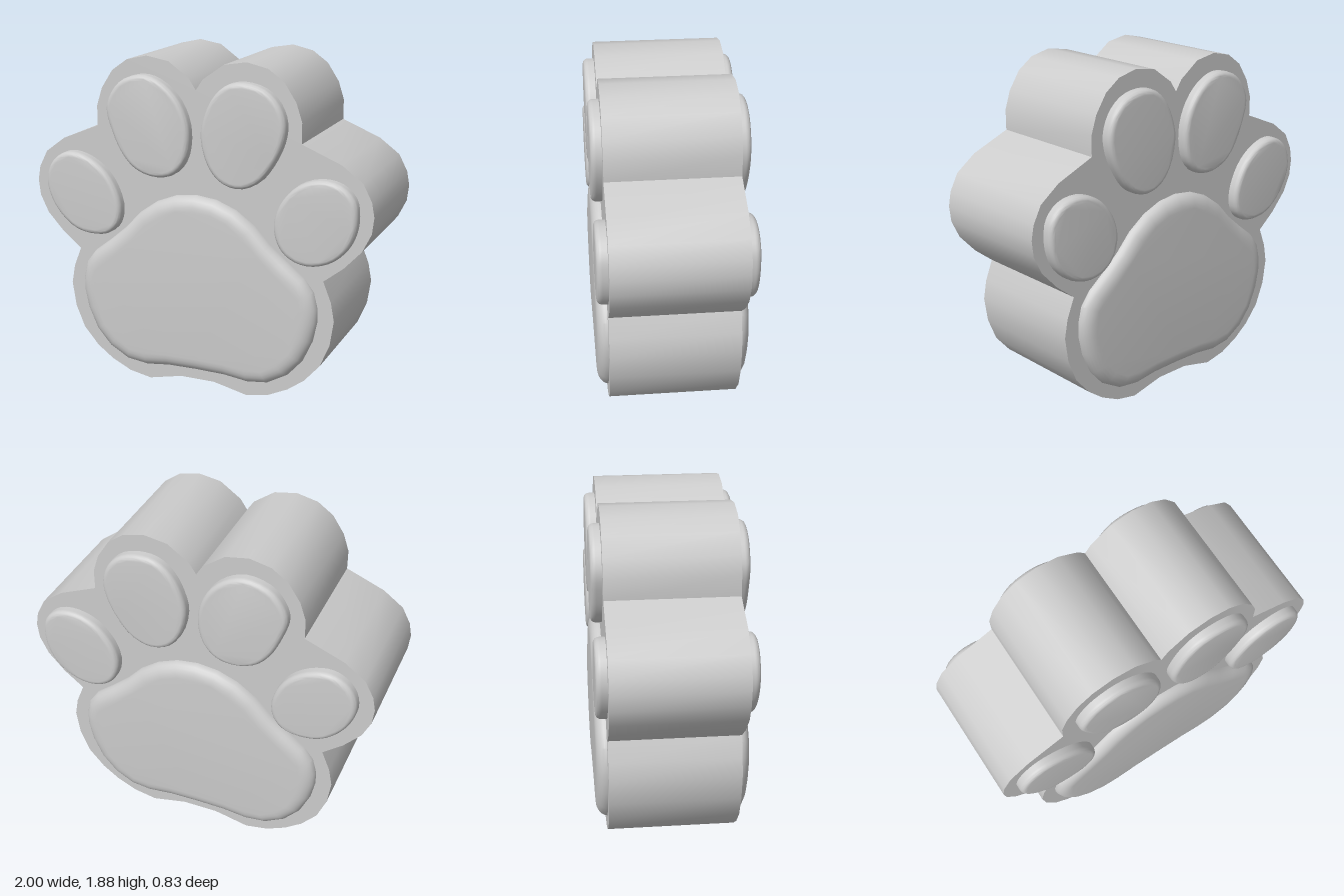
import * as THREE from 'three';
import { toCreasedNormals } from 'three/addons/utils/BufferGeometryUtils.js';

const BODY_HALF = 0.355; // half depth of the paw body
const PAD_HALF = 0.415; // half depth including the raised pads

const material = new THREE.MeshStandardMaterial({ color: 0xcccccc });

const toPoints = (flat) => {
  const points = [];
  for (let i = 0; i < flat.length; i += 2) points.push(new THREE.Vector2(flat[i], flat[i + 1]));
  return points;
};

// Close a half outline (from top centre down the +x side) by mirroring it across x = 0
const mirrored = (flat) => {
  const half = toPoints(flat);
  const other = half.filter((p) => p.x > 0).reverse().map((p) => new THREE.Vector2(-p.x, p.y));
  return [...half, ...other];
};

// Smooth closed loop through a few points
const smoothLoop = (flat, count) => {
  const points = toPoints(flat).map((p) => new THREE.Vector3(p.x, p.y, 0));
  const curve = new THREE.CatmullRomCurve3(points, true);
  return curve.getPoints(count).slice(0, -1).map((p) => new THREE.Vector2(p.x, p.y));
};

// Extrude an outline symmetrically about z = 0, with an optional rounded rim kept inside the outline
function slab(name, points, halfDepth, rimHeight = 0, rimWidth = 0) {
  const depth = 2 * (halfDepth - rimHeight);
  const geometry = new THREE.ExtrudeGeometry(new THREE.Shape(points), {
    depth,
    bevelEnabled: rimHeight > 0,
    bevelThickness: rimHeight,
    bevelSize: rimWidth,
    bevelOffset: -rimWidth,
    bevelSegments: 6,
  });
  geometry.translate(0, 0, -depth / 2);
  const mesh = new THREE.Mesh(toCreasedNormals(geometry, 0.5), material);
  mesh.name = name;
  return mesh;
}

export function createModel() {
  const group = new THREE.Group();
  group.name = 'paw';

  // Thick paw silhouette
  const body = mirrored([
    0, 1.71, 0.04, 1.77, 0.16, 1.855, 0.29, 1.877, 0.41, 1.85, 0.5, 1.786, 0.567, 1.684,
    0.6, 1.583, 0.6, 1.47, 0.82, 1.38, 0.936, 1.294, 0.985, 1.2, 1, 1.12, 0.99, 1.03,
    0.942, 0.93, 0.845, 0.825, 0.735, 0.738, 0.78, 0.626, 0.8, 0.52, 0.78, 0.38, 0.727, 0.25,
    0.64, 0.15, 0.545, 0.08, 0.43, 0.025, 0.3, 0, 0.16, 0.032, 0.1, 0.045,
  ]);
  group.add(slab('body', body, BODY_HALF));

  // Large palm pad with a wide soft rim, raised on both faces
  const palm = mirrored([
    0, 1.135, 0.12, 1.12, 0.235, 1.075, 0.342, 1, 0.43, 0.905, 0.53, 0.82, 0.63, 0.743,
    0.685, 0.67, 0.708, 0.578, 0.708, 0.5, 0.685, 0.39, 0.63, 0.267, 0.545, 0.17,
    0.43, 0.105, 0.31, 0.09, 0.17, 0.107, 0, 0.11,
  ]);
  group.add(slab('palmPad', palm, PAD_HALF, 0.06, 0.08));

  // Four toe pads with narrow rims, raised on both faces
  const toes = {
    rightInnerToePad: [
      -0.52, 1.58, -0.49, 1.67, -0.42, 1.745, -0.295, 1.78, -0.19, 1.75, -0.095, 1.67, -0.037, 1.56,
      -0.022, 1.445, -0.05, 1.32, -0.125, 1.24, -0.24, 1.22, -0.353, 1.257, -0.43, 1.337, -0.487, 1.455,
    ],
    leftInnerToePad: [
      0.043, 1.47, 0.064, 1.583, 0.118, 1.69, 0.2, 1.76, 0.305, 1.775, 0.417, 1.743, 0.492, 1.668,
      0.525, 1.572, 0.513, 1.47, 0.46, 1.353, 0.38, 1.25, 0.273, 1.203, 0.166, 1.225, 0.086, 1.31,
    ],
    rightOuterToePad: [
      -0.914, 1.112, -0.904, 1.198, -0.861, 1.267, -0.79, 1.31, -0.717, 1.315, -0.62, 1.283,
      -0.535, 1.22, -0.476, 1.134, -0.444, 1.027, -0.46, 0.93, -0.524, 0.866, -0.62, 0.848,
      -0.727, 0.866, -0.818, 0.93, -0.882, 1.016,
    ],
    leftOuterToePad: [
      0.925, 1.118, 0.909, 1.209, 0.84, 1.278, 0.733, 1.3, 0.615, 1.267, 0.535, 1.198, 0.481, 1.107,
      0.465, 1.005, 0.503, 0.898, 0.578, 0.84, 0.674, 0.824, 0.791, 0.861, 0.872, 0.936, 0.914, 1.027,
    ],
  };
  for (const [name, outline] of Object.entries(toes)) {
    group.add(slab(name, smoothLoop(outline, 40), PAD_HALF, 0.03, 0.028));
  }

  return group;
}
